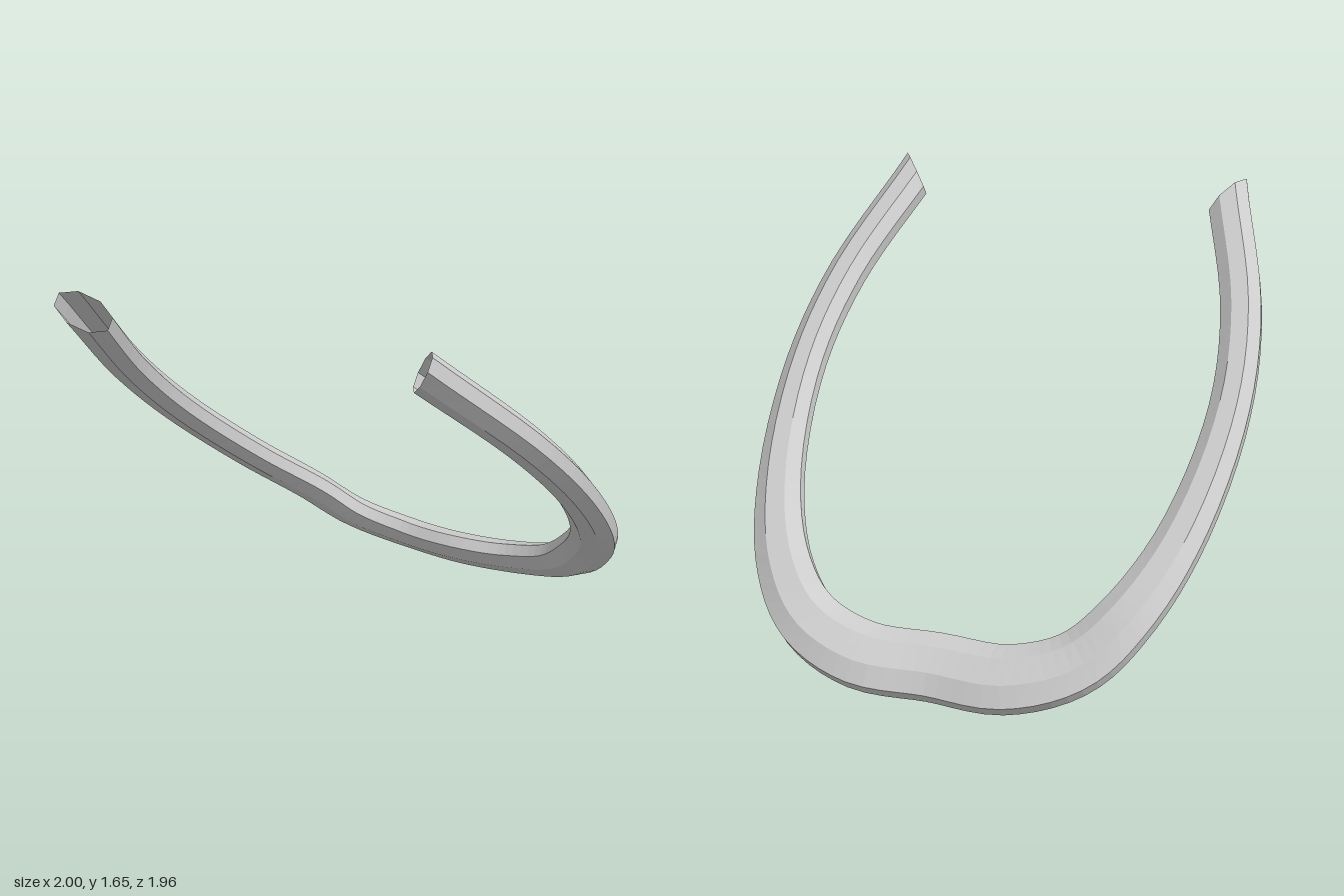
import * as THREE from 'three';

// Half of the centreline, from the back middle to the left tip:
// x, y, z, half width in the plane of the loop, tilt of that plane in degrees
const HALF = [
  [0, 0.102, -0.838, 0.145, 35],
  [0.3, 0.113, -0.854, 0.144, 35.5],
  [0.545, 0.19, -0.785, 0.133, 37],
  [0.705, 0.342, -0.65, 0.118, 38.3],
  [0.842, 0.57, -0.37, 0.1, 38.3],
  [0.917, 0.91, 0.06, 0.089, 38.3],
  [0.878, 1.213, 0.44, 0.09, 38.3],
  [0.715, 1.575, 0.893, 0.094, 38.3],
];
const SIDES = 8;
const RINGS = 72;
const HALF_THICKNESS = 0.069;
const END_SKEW = 0.8;

// Flattened eight-sided tube swept along the loop, open at both ends
function bentTube() {
  const mirrored = HALF.slice(1).reverse().map(([x, ...rest]) => [-x, ...rest]);
  const rows = [...mirrored, ...HALF];
  const path = new THREE.CatmullRomCurve3(rows.map(([x, y, z]) => new THREE.Vector3(x, y, z)));
  const section = new THREE.CatmullRomCurve3(
    rows.map(([, , , width, tilt]) => new THREE.Vector3(width, tilt, 0)), false, 'catmullrom');

  const positions = [];
  const indices = [];
  for (let i = 0; i <= RINGS; i++) {
    const t = i / RINGS;
    const centre = path.getPoint(t);
    const tangent = path.getTangent(t);
    const { x: width, y: degrees } = section.getPoint(t);
    const tilt = THREE.MathUtils.degToRad(degrees);
    const planeNormal = new THREE.Vector3(0, Math.cos(tilt), -Math.sin(tilt));
    const outward = new THREE.Vector3().crossVectors(planeNormal, tangent).normalize();
    const up = new THREE.Vector3().crossVectors(tangent, outward).normalize();

    // Both tips are cut at a slant, longer on the outer edge
    const fromMiddle = 2 * t - 1;
    const skew = END_SKEW * Math.sign(fromMiddle) * THREE.MathUtils.smoothstep(Math.abs(fromMiddle), 0.8, 1);

    for (let j = 0; j < SIDES; j++) {
      const angle = ((j + 0.5) / SIDES) * Math.PI * 2;
      const across = Math.cos(angle) * width;
      const p = centre.clone()
        .addScaledVector(outward, across)
        .addScaledVector(up, Math.sin(angle) * HALF_THICKNESS)
        .addScaledVector(tangent, skew * across);
      positions.push(p.x, p.y, p.z);
      if (i < RINGS) {
        const a = i * SIDES + j;
        const b = i * SIDES + (j + 1) % SIDES;
        indices.push(a, b, a + SIDES, b, b + SIDES, a + SIDES);
      }
    }
  }
  const geometry = new THREE.BufferGeometry();
  geometry.setAttribute('position', new THREE.Float32BufferAttribute(positions, 3));
  geometry.setIndex(indices);
  geometry.computeVertexNormals();
  return geometry;
}

export function createModel() {
  const grey = new THREE.MeshStandardMaterial({
    name: 'light grey', color: 0xcccccc, flatShading: true, side: THREE.DoubleSide,
  });
  const group = new THREE.Group();
  group.name = 'openLoop';
  const tube = new THREE.Mesh(bentTube(), grey);
  tube.name = 'bentTube';
  group.add(tube);
  return group;
}
